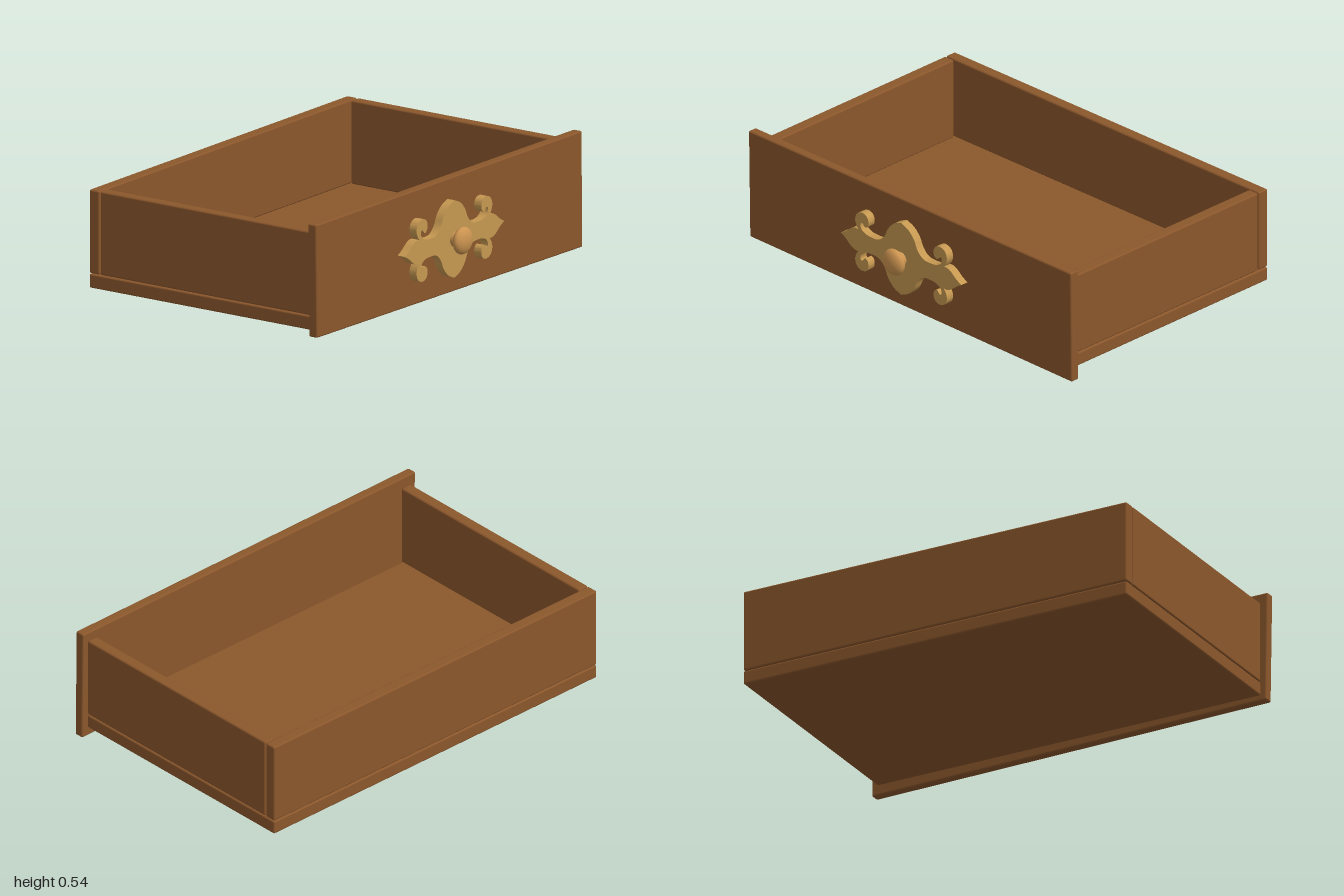
import * as THREE from 'three';
import { toCreasedNormals } from 'three/addons/utils/BufferGeometryUtils.js';
import { RoundedBoxGeometry } from 'three/addons/geometries/RoundedBoxGeometry.js';

const wood = new THREE.MeshStandardMaterial({ name: 'wood', color: 0x8b572c });
const brass = new THREE.MeshStandardMaterial({ name: 'brass', color: 0xc69851 });
const knobBrass = new THREE.MeshStandardMaterial({ name: 'knob brass', color: 0xcc9450 });

// Wooden board with softened edges, given by its limits
function board(name, x0, x1, y0, y1, z0, z1) {
  const geometry = new RoundedBoxGeometry(x1 - x0, y1 - y0, z1 - z0, 2, 0.008);
  geometry.translate((x0 + x1) / 2, (y0 + y1) / 2, (z0 + z1) / 2);
  const mesh = new THREE.Mesh(geometry, wood);
  mesh.name = name;
  return mesh;
}

// Front board, its corners pulled slightly out of square
function frontBoard() {
  const mesh = board('frontPanel', -1, 1, 0, 1, 0.528, 0.574);
  const p = mesh.geometry.attributes.position;
  const lerp = THREE.MathUtils.lerp;
  // keep the edge rounding uniform while the height is remapped
  const squash = (v) => (v < 0.05 ? v / 0.54 : v > 0.95 ? 1 - (1 - v) / 0.54 : v);
  for (let i = 0; i < p.count; i++) {
    const u = (p.getX(i) + 1) / 2;
    const v = squash(p.getY(i));
    p.setX(i, lerp(lerp(-0.991, 0.995, u), lerp(-0.999, 0.989, u), v));
    p.setY(i, lerp(lerp(0.028, 0.005, u), lerp(0.545, 0.536, u), v));
  }
  return mesh;
}

// One quarter of the plate outline, in hundredths, from top point to side tip
function quarterOutline() {
  const runs = [
    // pointed lobe, neck and the inside of the scroll
    [[0, 17.7], [4.6, 15.6], [8, 12], [10.2, 7.6], [13.6, 4.6], [18, 4.1], [22, 4.6],
      [24.6, 6.4], [24.9, 8.9], [23.8, 9.3]],
    // scroll bulb and its outer curve
    [[23.8, 9.3], [22.2, 7.6], [20.5, 8.6], [20.1, 11.2], [21.4, 13.5], [24.2, 14.2],
      [27.2, 12.8], [28.3, 9.8], [27.6, 7.2], [26.4, 5.4]],
    // side petal
    [[26.4, 5.4], [28.3, 5.4], [31, 4.2], [34, 1.8], [37.1, 0]],
  ];
  const points = [];
  runs.forEach((run, i) => {
    const curve = new THREE.CatmullRomCurve3(run.map(([x, y]) => new THREE.Vector3(x, y, 0)));
    const sampled = curve.getPoints((run.length - 1) * 4);
    points.push(...(i ? sampled.slice(1) : sampled));
  });
  return points.map((p) => new THREE.Vector2(p.x / 100, p.y / 100));
}

// Ornamental backing plate, the quarter mirrored both ways
function handlePlate() {
  const q = quarterOutline();
  const back = q.slice().reverse();
  const flip = (list, sx, sy) => list.map((p) => new THREE.Vector2(p.x * sx, p.y * sy));
  const outline = [
    ...q,
    ...flip(back, 1, -1).slice(1),
    ...flip(q, -1, -1).slice(1),
    ...flip(back, -1, 1).slice(1, -1),
  ];
  const extruded = new THREE.ExtrudeGeometry(new THREE.Shape(outline), {
    depth: 0.045, bevelEnabled: false,
  });
  const mesh = new THREE.Mesh(toCreasedNormals(extruded, 0.7), brass);
  mesh.name = 'handlePlate';
  mesh.position.z = 0.568;
  return mesh;
}

// Turned knob: a stem carrying a flattened round head
function knob() {
  const profile = [new THREE.Vector2(0.033, 0.6), new THREE.Vector2(0.033, 0.632)];
  for (let i = 0; i <= 14; i++) {
    const a = -Math.PI / 3.2 + (i / 14) * (Math.PI / 2 + Math.PI / 3.2);
    profile.push(new THREE.Vector2(Math.max(0, 0.062 * Math.cos(a)), 0.658 + 0.031 * Math.sin(a)));
  }
  const geometry = new THREE.LatheGeometry(profile, 32);
  geometry.rotateX(Math.PI / 2);
  const mesh = new THREE.Mesh(geometry, knobBrass);
  mesh.name = 'knob';
  return mesh;
}

export function createModel() {
  const drawer = new THREE.Group();
  drawer.name = 'drawer';

  // Open tray
  drawer.add(
    board('bottomPanel', -0.965, 0.965, 0.05, 0.114, -0.686, 0.528),
    board('backPanel', -0.965, 0.965, 0.117, 0.498, -0.686, -0.631),
    board('leftSide', 0.91, 0.965, 0.117, 0.498, -0.626, 0.526),
    board('rightSide', -0.965, -0.91, 0.117, 0.498, -0.626, 0.526),
    frontBoard(),
  );

  // Handle
  const handle = new THREE.Group();
  handle.name = 'handle';
  handle.position.set(-0.019, 0.272, 0);
  handle.add(handlePlate(), knob());
  drawer.add(handle);

  return drawer;
}
